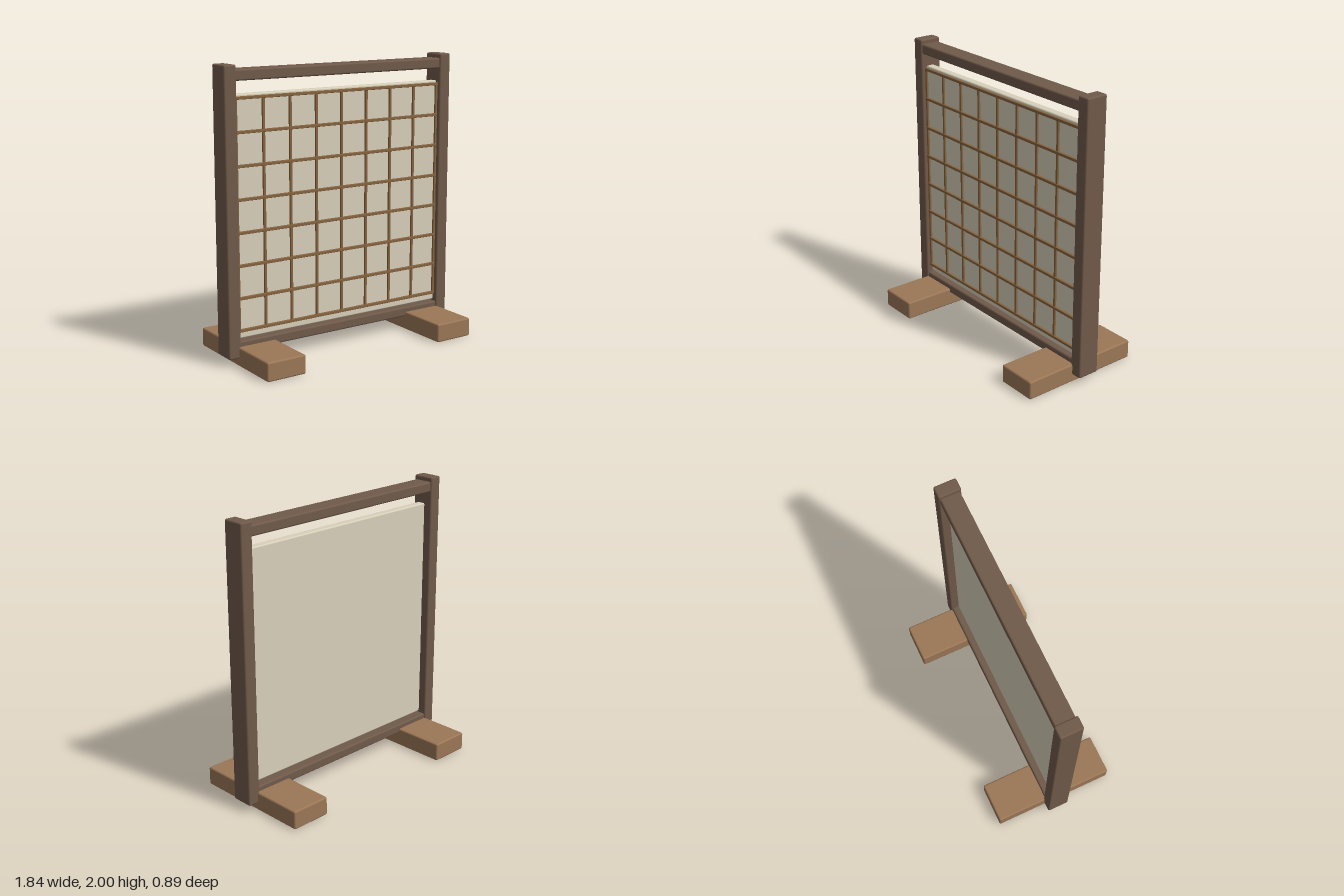
import * as THREE from 'three';
import { RoundedBoxGeometry } from 'three/addons/geometries/RoundedBoxGeometry.js';

const paint = (color) => new THREE.MeshStandardMaterial({ color });

export function createModel() {
  const group = new THREE.Group();
  const darkWood = paint(0x705a4a);
  const lightWood = paint(0x9b7756);
  const slatWood = paint(0x86643f);
  const paper = paint(0xd8d0ba);

  // Softly rounded block given by its minimum and maximum corners
  function block(name, material, [x0, y0, z0], [x1, y1, z1], radius, parent = group) {
    const geometry = new RoundedBoxGeometry(x1 - x0, y1 - y0, z1 - z0, 2, radius);
    const mesh = new THREE.Mesh(geometry, material);
    mesh.position.set((x0 + x1) / 2, (y0 + y1) / 2, (z0 + z1) / 2);
    mesh.name = name;
    parent.add(mesh);
  }

  // Posts and feet, mirrored
  for (const [side, s] of [['left', 1], ['right', -1]]) {
    const post = [s * 0.83, s * 0.92].sort((a, b) => a - b);
    const foot = [s * 0.553, s * 0.846].sort((a, b) => a - b);
    block(side + 'Post', darkWood, [post[0], 0.055, -0.08], [post[1], 2, 0.08], 0.012);
    block(side + 'Foot', lightWood, [foot[0], 0, -0.445], [foot[1], 0.132, 0.445], 0.012);
  }

  // Rails between the posts
  block('topRail', darkWood, [-0.845, 1.895, -0.07], [0.845, 1.968, 0.07], 0.012);
  block('bottomRail', darkWood, [-0.845, 0.1, -0.07], [0.845, 0.168, 0.07], 0.012);

  // Paper panel
  block('panel', paper, [-0.832, 0.178, -0.02], [0.832, 1.808, 0.04], 0.01);

  // Lattice of slats on the front of the panel
  const lattice = new THREE.Group();
  lattice.name = 'lattice';
  group.add(lattice);
  for (let i = 0; i <= 8; i++) {
    const x = (i - 4) * 0.2055;
    block('verticalSlat', slatWood, [x - 0.009, 0.225, 0.03], [x + 0.009, 1.79, 0.053], 0.003, lattice);
  }
  for (let j = 0; j <= 7; j++) {
    const y = 0.234 + j * 0.2214;
    block('horizontalSlat', slatWood, [-0.83, y - 0.01, 0.03], [0.83, y + 0.01, 0.057], 0.003, lattice);
  }
  return group;
}
